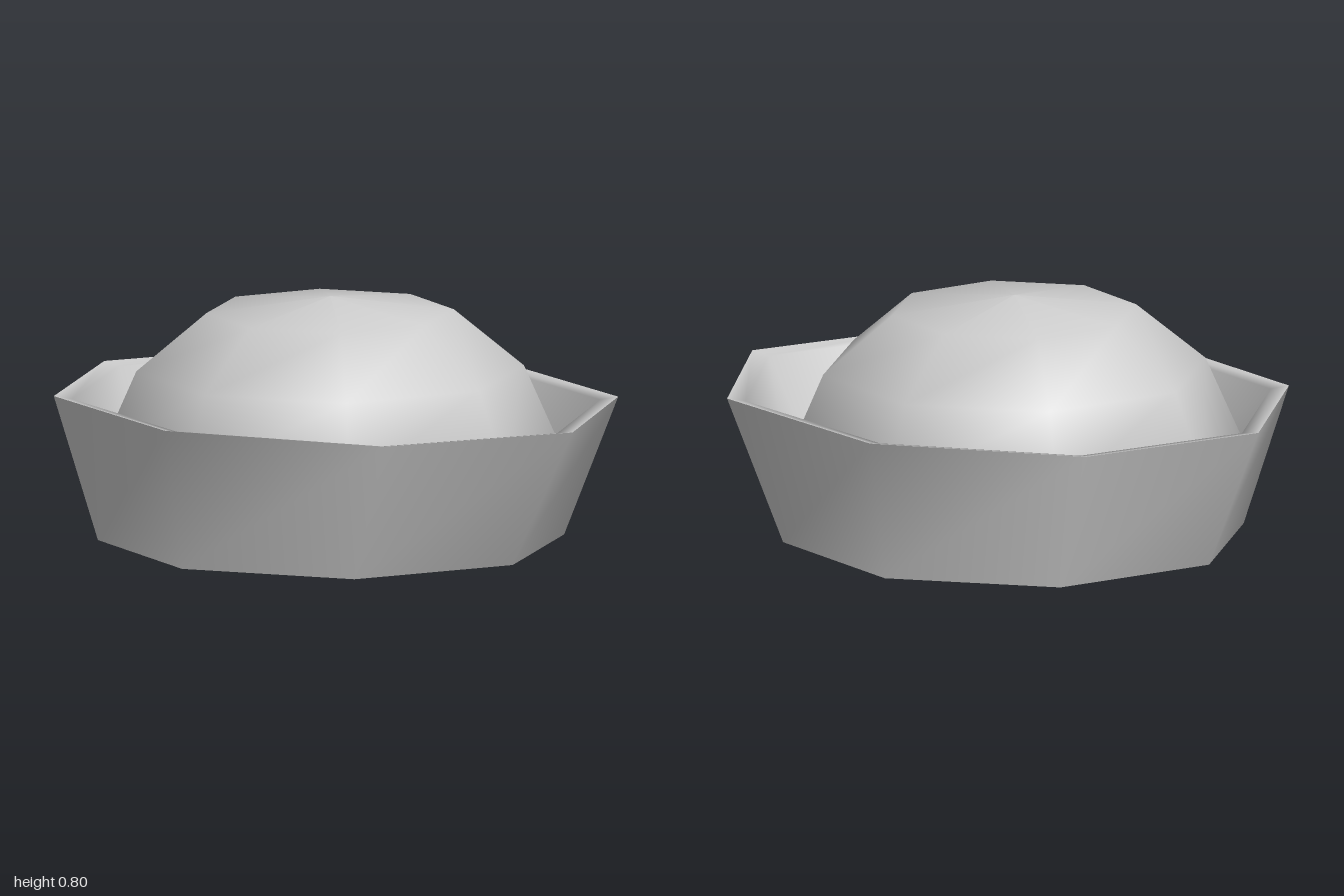
import * as THREE from 'three';

const SIDES = 8;
const CENTRE_Z = -0.035;

// One eight-sided ring; the front and back halves may have their own depth.
function ring(y, rx, front = rx, back = front) {
  const points = [];
  for (let j = 0; j < SIDES; j++) {
    const a = (j / SIDES) * Math.PI * 2;
    const c = Math.cos(a);
    points.push([rx * Math.sin(a), y, CENTRE_Z + c * (c > 0 ? front : back)]);
  }
  return points;
}

// Smooth skin over a stack of rings, faces outward when the rings rise.
function loft(name, rings) {
  const index = [];
  for (let i = 0; i < rings.length - 1; i++) {
    for (let j = 0; j < SIDES; j++) {
      const k = (j + 1) % SIDES;
      const a = i * SIDES + j, b = i * SIDES + k;
      const c = b + SIDES, d = a + SIDES;
      index.push(a, b, c, a, c, d);
    }
  }
  const geometry = new THREE.BufferGeometry();
  geometry.setAttribute('position', new THREE.Float32BufferAttribute(rings.flat(2), 3));
  geometry.setIndex(index);
  geometry.computeVertexNormals();
  const material = new THREE.MeshStandardMaterial({ color: 0xcccccc, side: THREE.DoubleSide });
  const mesh = new THREE.Mesh(geometry, material);
  mesh.name = name;
  return mesh;
}

export function createModel() {
  const model = new THREE.Group();
  model.name = 'sailorHat';

  // Turned-up brim, flaring further at the front and back
  const outerBottom = ring(0, 0.75, 0.78, 0.77);
  const outerTop = ring(0.47, 0.835, 1.035, 0.965);
  const innerTop = ring(0.46, 0.78, 0.97, 0.9);
  const innerBottom = ring(0, 0.69, 0.71);

  const brim = new THREE.Group();
  brim.name = 'brim';
  brim.add(
    loft('brimOutside', [outerBottom, outerTop]),
    loft('brimInside', [outerTop, innerTop, innerBottom]),
    loft('brimUnderside', [innerBottom, outerBottom]),
  );

  // Domed crown, open underneath
  const crown = loft('crown', [
    innerBottom,
    ring(0.3, 0.75),
    ring(0.56, 0.635),
    ring(0.75, 0.405),
    ring(0.8, 0.001),
  ]);

  model.add(brim, crown);
  return model;
}
